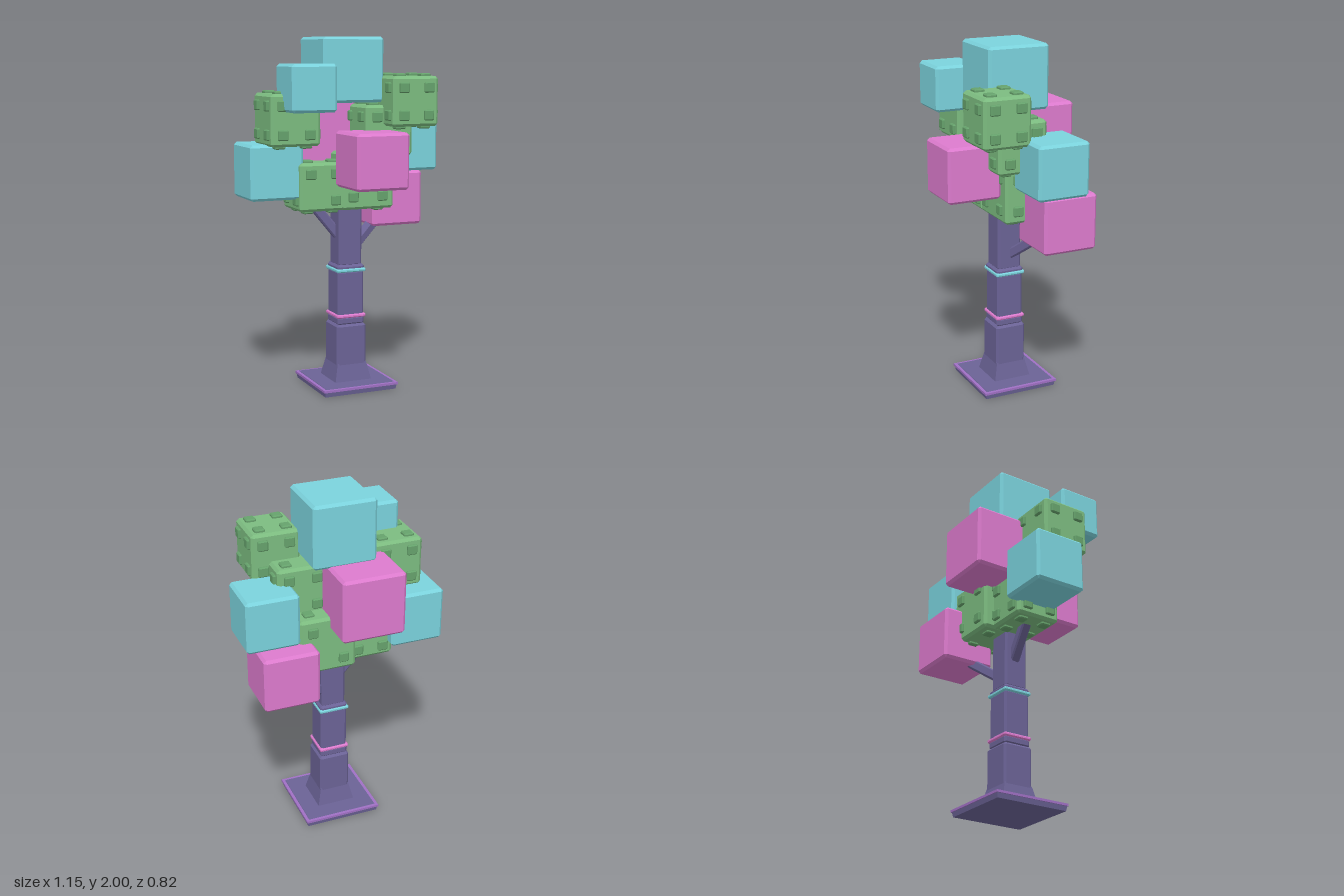
import * as THREE from 'three';
import { ConvexGeometry } from 'three/addons/geometries/ConvexGeometry.js';

const material = (color) => new THREE.MeshStandardMaterial({ color, flatShading: true });
const bark = material(0x6b6396);
const lavender = material(0xa070c4);
const cyan = material(0x7bd3dd);
const pink = material(0xdd7bce);
const green = material(0x7cbc80);
const moss = material(0x66a26c);

// Box with every edge cut by a flat chamfer
function chamferBox(w, h, d, c) {
  const points = [];
  for (const i of [-1, 1]) for (const j of [-1, 1]) for (const k of [-1, 1]) {
    const [x, y, z] = [w / 2, h / 2, d / 2];
    points.push(
      new THREE.Vector3(i * x, j * (y - c), k * (z - c)),
      new THREE.Vector3(i * (x - c), j * y, k * (z - c)),
      new THREE.Vector3(i * (x - c), j * (y - c), k * z)
    );
  }
  return new ConvexGeometry(points);
}

function add(parent, name, geometry, mat, x = 0, y = 0, z = 0) {
  const mesh = new THREE.Mesh(geometry, mat);
  mesh.name = name;
  mesh.position.set(x, y, z);
  parent.add(mesh);
  return mesh;
}

// Square frustum given by half widths and heights
function frustum(bottom, top, y0, y1) {
  const g = new THREE.CylinderGeometry(top * Math.SQRT2, bottom * Math.SQRT2, y1 - y0, 4);
  return g.rotateY(Math.PI / 4).translate(0, (y0 + y1) / 2, 0);
}

// Four small raised pads near the corners of every face
function addPads(cube, size, skip) {
  const geometry = chamferBox(0.058, 0.058, 0.03, 0.006);
  const o = size * 0.275;
  const turns = [[0, 0], [0, Math.PI / 2], [0, Math.PI], [0, -Math.PI / 2], [-Math.PI / 2, 0], [Math.PI / 2, 0]];
  turns.forEach(([rx, ry], face) => {
    const side = new THREE.Group();
    side.name = 'facePads';
    side.rotation.set(rx, ry, 0);
    for (const i of [-1, 1]) for (const j of [-1, 1]) {
      if (skip && face === 0 && i < 0 && j < 0) continue;
      add(side, 'leafPad', geometry, moss, i * o, j * o, size / 2);
    }
    cube.add(side);
  });
}

// Square-section branch between two points
function addBranch(parent, name, from, to, width) {
  const a = new THREE.Vector3(...from);
  const b = new THREE.Vector3(...to);
  const mesh = add(parent, name, chamferBox(width, width, a.distanceTo(b), 0.008), bark);
  mesh.position.copy(a).lerp(b, 0.5);
  mesh.lookAt(b);
}

export function createModel() {
  const tree = new THREE.Group();
  tree.name = 'cubeTree';

  // Base plate and trunk, slightly off centre under the crown
  const trunk = new THREE.Group();
  trunk.name = 'trunk';
  trunk.position.set(0.02, 0, -0.016);
  tree.add(trunk);
  add(trunk, 'basePlate', frustum(0.217, 0.222, 0.005, 0.034), bark);
  add(trunk, 'baseRim', frustum(0.227, 0.227, 0.032, 0.045), lavender);
  add(trunk, 'baseTop', frustum(0.212, 0.208, 0.04, 0.048), bark);
  add(trunk, 'rootFlare', frustum(0.112, 0.088, 0.045, 0.15), bark);

  // [name, half width, bottom, top, chamfer, material]
  const sections = [
    ['lowerTrunk', 0.09, 0.1, 0.375, 0.012, bark],
    ['lowerCollar', 0.082, 0.37, 0.42, 0.012, bark],
    ['lowerBand', 0.088, 0.412, 0.433, 0.006, pink],
    ['middleTrunk', 0.079, 0.42, 0.685, 0.012, bark],
    ['upperBand', 0.088, 0.677, 0.698, 0.006, cyan],
    ['upperCollar', 0.082, 0.685, 0.72, 0.012, bark],
    ['upperTrunk', 0.071, 0.71, 1.25, 0.012, bark],
  ];
  for (const [name, half, y0, y1, c, mat] of sections) {
    add(trunk, name, chamferBox(half * 2, y1 - y0, half * 2, c), mat, 0, (y0 + y1) / 2, 0);
  }

  // Branches reaching into the crown
  addBranch(tree, 'leftBranch', [0.03, 0.77, -0.02], [0.34, 1.01, -0.17], 0.055);
  addBranch(tree, 'rightBranch', [0.0, 0.85, -0.02], [-0.22, 1.12, -0.04], 0.055);

  // Foliage cubes: [material, size, lowest x, y, z corner]
  const cubes = [
    [cyan, 0.36, -0.18, 1.64, -0.21],
    [cyan, 0.257, -0.423, 1.598, 0.052],
    [cyan, 0.307, -0.576, 1.11, -0.236],
    [cyan, 0.3, 0.271, 1.24, -0.25],
    [pink, 0.36, -0.265, 1.29, -0.411],
    [pink, 0.31, -0.094, 1.177, 0.096],
    [pink, 0.316, 0.193, 0.916, -0.336],
    [green, 0.275, 0.166, 1.511, 0.028],
    [green, 0.284, -0.49, 1.41, -0.119],
    [green, 0.285, 0.062, 1.34, -0.112],
    [green, 0.27, -0.3, 1.04, -0.172],
    [green, 0.325, -0.055, 1.038, -0.23],
  ];
  cubes.forEach(([mat, s, x, y, z], n) => {
    const h = s / 2;
    const leaf = new THREE.Group();
    leaf.name = 'foliageCube' + (n + 1);
    leaf.position.set(x + h, y + h, z + h);
    add(leaf, 'foliage', chamferBox(s, s, s, 0.015), mat);
    if (mat === green) addPads(leaf, s, n === 10);
    tree.add(leaf);
  });

  return tree;
}
